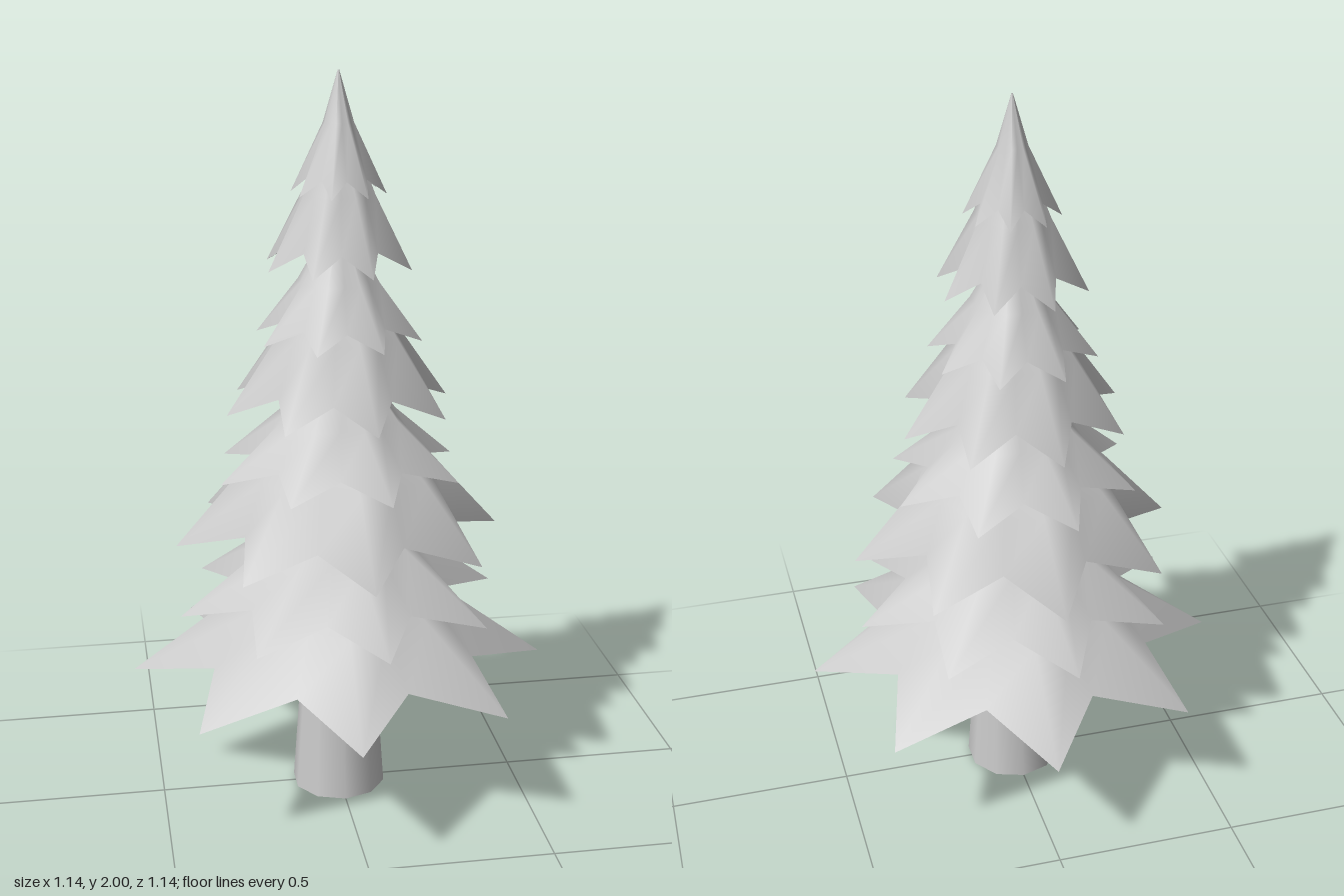
import * as THREE from 'three';

const POINTS = 8;

// One star-hemmed skirt of branches; each ring is [tipRadius, tipY, valleyRadius, valleyY]
function skirt(rings, twistDeg, material) {
  const n = POINTS * 2;
  const twist = THREE.MathUtils.degToRad(twistDeg);
  const positions = [];
  const indices = [];
  for (const [tipR, tipY, valleyR, valleyY] of rings) {
    for (let i = 0; i < n; i++) {
      const a = twist + (i / n) * Math.PI * 2;
      const isTip = i % 2 === 0;
      const r = isTip ? tipR : valleyR;
      positions.push(r * Math.sin(a), isTip ? tipY : valleyY, r * Math.cos(a));
    }
  }
  for (let k = 0; k < rings.length - 1; k++) {
    for (let i = 0; i < n; i++) {
      const j = (i + 1) % n;
      const a = k * n + i, b = k * n + j;
      indices.push(a, b, b + n, a, b + n, a + n);
    }
  }
  const geometry = new THREE.BufferGeometry();
  geometry.setAttribute('position', new THREE.Float32BufferAttribute(positions, 3));
  geometry.setIndex(indices);
  geometry.computeVertexNormals();
  return new THREE.Mesh(geometry, material);
}

export function createModel() {
  const tree = new THREE.Group();
  tree.name = 'pineTree';
  const bark = new THREE.MeshStandardMaterial({ color: 0xcccccc });
  const needles = new THREE.MeshStandardMaterial({ color: 0xcccccc, side: THREE.DoubleSide });

  // Tapering trunk
  const trunk = new THREE.Mesh(new THREE.CylinderGeometry(0.018, 0.13, 1.6, 10), bark);
  trunk.position.y = 0.8;
  trunk.name = 'trunk';
  tree.add(trunk);

  // Skirts from bottom to top: hem radius, hem y, hem lift, mid radius, mid y, top radius, top y, twist
  const tiers = [
    [0.57, 0.37, 0.06, 0.3, 0.57, 0.09, 0.78, -3],
    [0.447, 0.56, 0.045, 0.21, 0.735, 0.07, 0.87, 8],
    [0.447, 0.75, 0.055, 0.27, 0.95, 0.07, 1.16, 3],
    [0.34, 0.94, 0.04, 0.17, 1.09, 0.055, 1.24, 15],
    [0.31, 1.12, 0.055, 0.17, 1.32, 0.045, 1.52, 10],
    [0.225, 1.31, 0.04, 0.11, 1.46, 0.03, 1.6, 22],
    [0.2, 1.5, 0.05, 0.1, 1.69, 0.02, 1.88, 17],
    [0.125, 1.69, 0.04, 0.04, 1.87, 0.002, 2.0, 28],
  ];
  tiers.forEach(([r, y, lift, midR, midY, topR, topY, twist], i) => {
    const mesh = skirt([
      [r, y, r * 0.67, y + lift],
      [midR, midY, midR * 0.9, midY],
      [topR, topY, topR, topY],
    ], twist, needles);
    mesh.name = `branchTier${i + 1}`;
    tree.add(mesh);
  });
  return tree;
}
